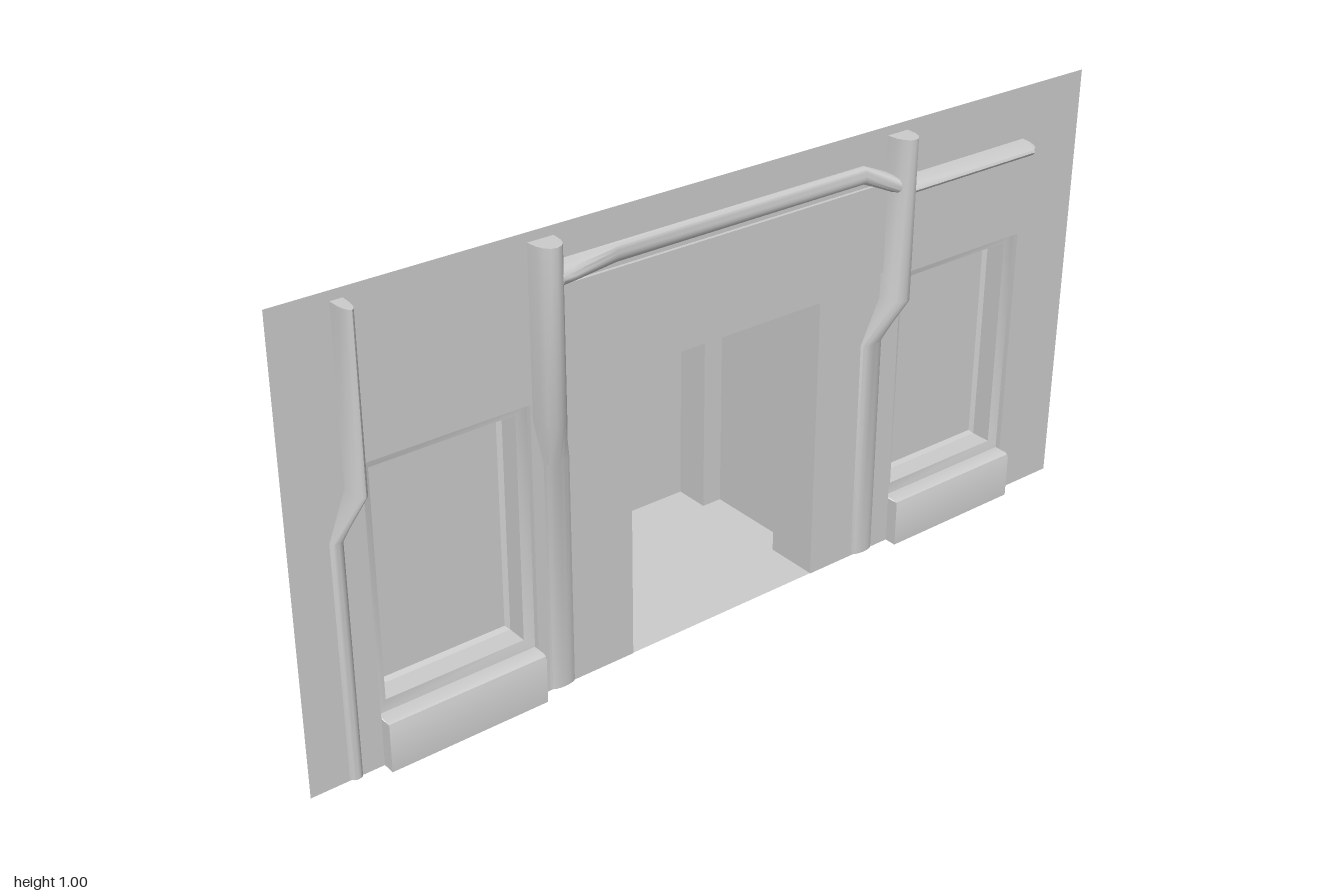
import * as THREE from 'three';
import { toCreasedNormals } from 'three/addons/utils/BufferGeometryUtils.js';

const WALL_Z = 0.2;
const V = (x, y, z) => new THREE.Vector3(x, y, z);

export function createModel() {
  const group = new THREE.Group();
  const mat = new THREE.MeshStandardMaterial({ color: 0xcccccc, side: THREE.DoubleSide });

  const add = (name, geo, parent = group) => {
    const mesh = new THREE.Mesh(geo, mat);
    mesh.name = name;
    parent.add(mesh);
    return mesh;
  };

  // Skin between cross-sections that share a point count
  const loft = (sections, closed = false) => {
    const n = sections[0].length;
    const idx = [];
    for (let s = 0; s < sections.length - 1; s++) {
      for (let i = 0; i < (closed ? n : n - 1); i++) {
        const a = s * n + i, b = s * n + (i + 1) % n;
        idx.push(a, b, b + n, a, b + n, a + n);
      }
    }
    const geo = new THREE.BufferGeometry().setFromPoints(sections.flat());
    geo.setIndex(idx);
    return toCreasedNormals(geo, 0.7);
  };

  // Half-round shell lying on the wall; stops are [x, y, front z]
  const halfPipe = (stops, halfWidth, alongX) => {
    const sections = stops.map(([x, y, z]) => {
      const pts = [];
      for (let i = 0; i <= 8; i++) {
        const a = Math.PI * i / 8;
        const u = halfWidth * Math.cos(a);
        const d = WALL_Z + (z - WALL_Z) * Math.pow(Math.max(0, Math.sin(a)), 0.75);
        pts.push(alongX ? V(x, y + u, d) : V(x - u, y, d));
      }
      return pts;
    });
    // Close both ends down to the wall
    const endCap = ([x, y]) => Array.from({ length: 9 }, () => V(x, y, WALL_Z));
    return loft([endCap(stops[0]), ...sections, endCap(stops[stops.length - 1])]);
  };

  const windows = [[-0.84, -0.48], [0.475, 0.835]];
  const poles = [ // top centre, bottom centre, half width
    { top: -0.864, bottom: -0.903, w: 0.013 },
    { top: -0.446, bottom: -0.425, w: 0.029 },
    { top: 0.443, bottom: 0.395, w: 0.028 },
  ];

  // Wall with the doorway and window bays cut out of its lower edge
  const wall = new THREE.Shape();
  wall.moveTo(-1, 0);
  for (const [x0, x1, h] of [[...windows[0], 0.655], [-0.245, 0.245, 0.655], [...windows[1], 0.655]]) {
    wall.lineTo(x0, 0);
    wall.lineTo(x0, h);
    wall.lineTo(x1, h);
    wall.lineTo(x1, 0);
  }
  wall.lineTo(1, 0);
  wall.lineTo(1, 1);
  wall.lineTo(-1, 1);
  wall.closePath();
  const cut = (pts) => wall.holes.push(new THREE.Path(pts.map(([x, y]) => new THREE.Vector2(x, y))));
  // Openings behind the hollow poles and rails
  for (const { top, bottom, w } of poles) {
    const k = w * 0.9;
    cut([[top - k, 0.978], [top - k, 0.62], [bottom - k * 0.2, 0.5], [bottom + k * 0.2, 0.5], [top + k, 0.62], [top + k, 0.978]]);
  }
  cut([[0.476, 0.854], [0.818, 0.854], [0.818, 0.876], [0.476, 0.876]]);
  cut([[-0.415, 0.895], [-0.31, 0.905], [-0.31, 0.915], [-0.415, 0.925]]);
  cut([[0.412, 0.885], [0.35, 0.905], [0.36, 0.915], [0.412, 0.9]]);
  add('wall', new THREE.ShapeGeometry(wall).translate(0, 0, WALL_Z));

  // Poles, cranked back to the wall in their lower half
  for (const { top, bottom, w } of poles) {
    add('pole', halfPipe([
      [bottom, 0.005, 0.212], [bottom, 0.52, 0.212], [top, 0.62, 0.253], [top, 0.98, 0.253],
    ], w, false));
  }

  // Rails: one across the doorway, one to the far side
  add('middleRail', halfPipe([
    [-0.43, 0.91, 0.25], [-0.4, 0.91, 0.245], [-0.28, 0.91, 0.211],
    [0.35, 0.91, 0.211], [0.42, 0.88, 0.245],
  ], 0.02, true));
  add('sideRail', halfPipe([[0.44, 0.866, 0.25], [0.81, 0.866, 0.25], [0.825, 0.866, 0.24]], 0.014, true));

  // Thin sign panel over the doorway
  const panel = new THREE.BoxGeometry(0.83, 0.2, 0.007);
  panel.translate(0, 0.78, WALL_Z + 0.0036);
  add('signPanel', panel);

  // Windows: stepped recess with a hollow sill below
  for (const [x0, x1] of windows) {
    const bay = new THREE.Group();
    bay.name = 'window';
    group.add(bay);
    const y0 = 0.11, y1 = 0.655;
    const ring = (inset, z) => [
      V(x0 + inset, y0 + inset, z), V(x1 - inset, y0 + inset, z),
      V(x1 - inset, y1 - inset, z), V(x0 + inset, y1 - inset, z),
    ];
    const centre = Array.from({ length: 4 }, () => V((x0 + x1) / 2, (y0 + y1) / 2, 0.127));
    add('windowRecess', loft([
      ring(0, WALL_Z), ring(0, 0.188), ring(0.022, 0.182), ring(0.022, 0.135), ring(0.03, 0.127), centre,
    ], true), bay);

    const profile = [[0, 0.228], [0.1, 0.228], [0.107, 0.225], [0.11, 0.218], [0.11, 0.19]];
    add('windowSill', loft([x0, x1].map(x => profile.map(([y, z]) => V(x, y, z)))), bay);
    for (const x of [x0, x1]) {
      const cheek = new THREE.PlaneGeometry(0.028, 0.108).rotateY(Math.PI / 2);
      add('sillCheek', cheek.translate(x, 0.054, 0.214), bay);
    }
  }

  // Entrance recess behind the doorway
  const entrance = new THREE.Group();
  entrance.name = 'entrance';
  group.add(entrance);
  const W = 0.245, H = 0.655, BACK = -0.255;
  const depth = WALL_Z - BACK, midZ = (WALL_Z + BACK) / 2;
  add('entranceBack', new THREE.PlaneGeometry(2 * W, H).translate(0, H / 2, BACK), entrance);
  add('entranceFloor', new THREE.PlaneGeometry(2 * W, depth).rotateX(-Math.PI / 2).translate(0, 0.001, midZ), entrance);
  add('entranceCeiling', new THREE.PlaneGeometry(2 * W, depth).rotateX(Math.PI / 2).translate(0, H, midZ), entrance);

  // Side walls, each opening into a shallow alcove
  const A = 0.295, AH = 0.585, az0 = -0.17, az1 = 0.075;
  for (const s of [-1, 1]) {
    const side = new THREE.Shape();
    [[BACK, 0], [az0, 0], [az0, AH], [az1, AH], [az1, 0], [WALL_Z, 0], [WALL_Z, H], [BACK, H]]
      .forEach(([z, y], i) => (i ? side.lineTo(-z, y) : side.moveTo(-z, y)));
    add('entranceSide', new THREE.ShapeGeometry(side).rotateY(Math.PI / 2).translate(s * W, 0, 0), entrance);

    const rim = x => [V(s * x, 0.001, az0), V(s * x, AH, az0), V(s * x, AH, az1), V(s * x, 0.001, az1)];
    const mid = Array.from({ length: 4 }, () => V(s * A, AH / 2, (az0 + az1) / 2));
    add('sideAlcove', loft([rim(W), rim(A), mid], true), entrance);
  }

  return group;
}
